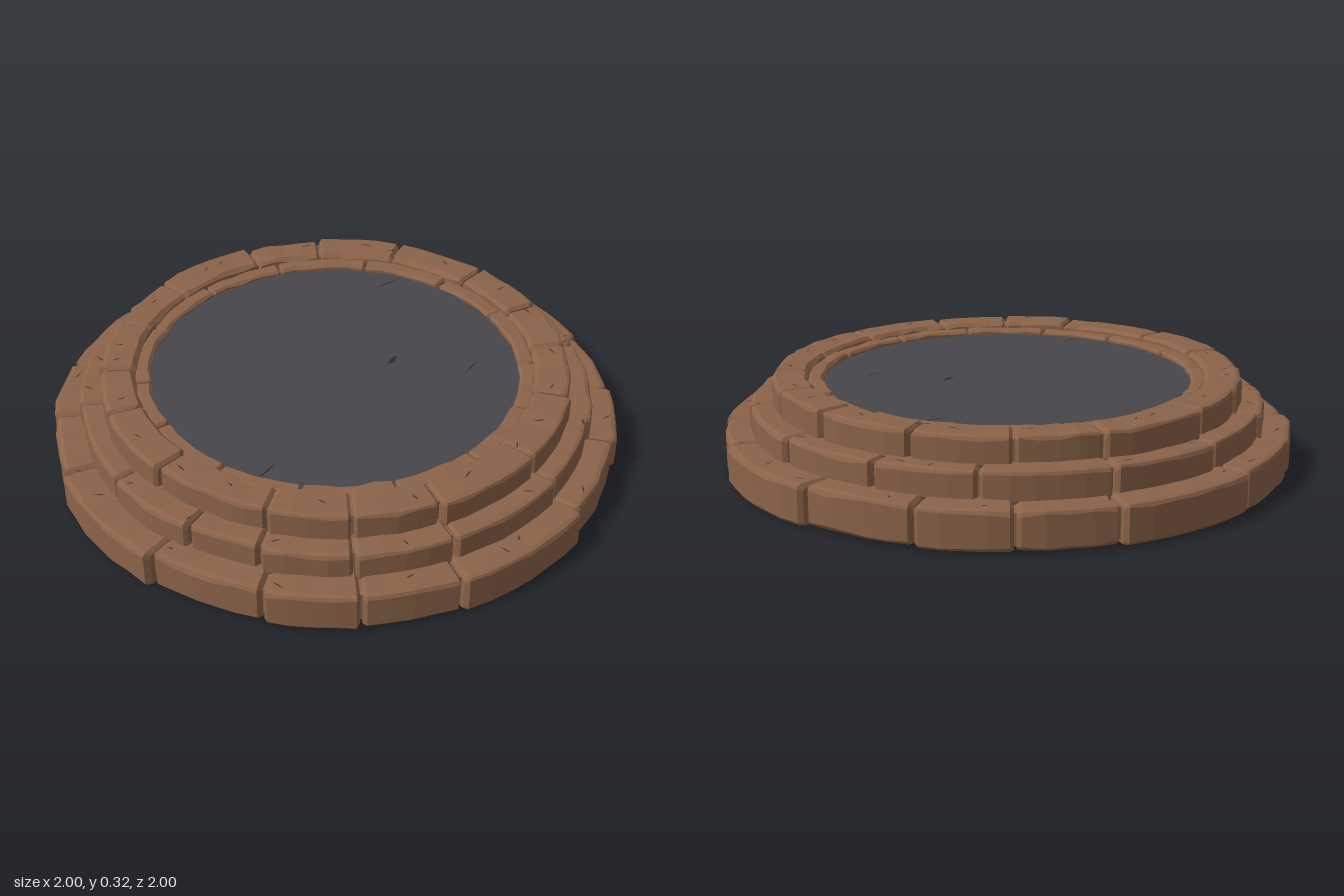
import * as THREE from 'three';

const stone = new THREE.MeshStandardMaterial({ color: 0x8b6349 });
stone.name = 'brown stone';
stone.flatShading = true;
const slab = new THREE.MeshStandardMaterial({ color: 0x47474b });
slab.name = 'dark slab';
const crack = new THREE.MeshStandardMaterial({ color: 0x4a3427 });
crack.name = 'crack shadow';
const slabCrack = new THREE.MeshStandardMaterial({ color: 0x2b2b2e });
slabCrack.name = 'slab crack shadow';

const RAD = Math.PI / 180;

// Small seeded random source
function makeRandom(seed) {
  let s = seed;
  return () => {
    s = (s * 16807) % 2147483647;
    return s / 2147483647;
  };
}

// One curved, chamfered stone swept between two angles (0 = front, 90 = left)
function stoneGeometry(a0, a1, ri, ro, y0, y1, c, rand) {
  const bevel = (c * 0.8) / ro / RAD;
  const count = Math.max(2, Math.round((a1 - a0) / 5));
  const angles = [a0];
  for (let i = 0; i <= count; i++) angles.push(a0 + bevel + ((a1 - a0 - 2 * bevel) * i) / count);
  angles.push(a1);

  const pos = [];
  const idx = [];
  const n = 8;
  angles.forEach((a, s) => {
    const end = s === 0 || s === angles.length - 1 ? c : 0;
    const R = ro - end - rand() * 0.006;
    const I = ri + end * 0.5 + (rand() - 0.5) * 0.008;
    const T = y1 - end * 0.8 - rand() * 0.004;
    const k = c * (0.6 + rand() * 0.7);
    const profile = [
      [I, y0], [R - k * 0.5, y0], [R, y0 + k * 0.7], [R, T - k],
      [R - k * 0.35, T - k * 0.3], [R - k * 1.1, T], [I + k, T], [I, T - k],
    ];
    for (const [r, y] of profile) pos.push(r * Math.sin(a * RAD), y, r * Math.cos(a * RAD));
  });
  const last = (angles.length - 1) * n;
  for (let s = 0; s < angles.length - 1; s++) {
    for (let j = 0; j < n; j++) {
      const p = s * n + j;
      const q = s * n + ((j + 1) % n);
      idx.push(p, p + n, q, q, p + n, q + n);
    }
  }
  for (let j = 1; j < n - 1; j++) idx.push(0, j, j + 1, last, last + j + 1, last + j);

  const geo = new THREE.BufferGeometry();
  geo.setAttribute('position', new THREE.Float32BufferAttribute(pos, 3));
  geo.setIndex(idx);
  const flat = geo.toNonIndexed();
  flat.computeVertexNormals();
  return flat;
}

// A ring of separate stones, with a slightly smaller solid ring behind the joints
function stoneRing(name, t) {
  const group = new THREE.Group();
  group.name = name;
  const rand = makeRandom(t.seed);
  const gap = 0.004 / t.ro / RAD;
  t.cuts.forEach((a, i) => {
    const b = i + 1 < t.cuts.length ? t.cuts[i + 1] : t.cuts[0] + 360;
    const proud = t.proudEvery && i % t.proudEvery === 0;
    const ro = proud ? t.ro + 0.004 : t.ro - rand() * t.vary;
    const geo = stoneGeometry(a + gap, b - gap, t.ri, ro, t.y0 + rand() * t.sag, t.y1 - rand() * 0.006, t.c, rand);
    const mesh = new THREE.Mesh(geo, stone);
    mesh.name = name + 'Stone';
    group.add(mesh);
  });
  const [i, o, lo, hi] = [t.ri + 0.015, t.ro - 0.035, t.y0 + t.sag + 0.004, t.y1 - 0.022];
  const points = [[i, lo], [o, lo], [o, hi], [i, hi], [i, lo]].map(([x, y]) => new THREE.Vector2(x, y));
  const core = new THREE.Mesh(new THREE.LatheGeometry(points, 72), stone);
  core.name = name + 'Core';
  group.add(core);
  return group;
}

// Thin tapering sliver lying on a level surface
function sliver(name, angle, r, y, length, width, turn, material) {
  const shape = new THREE.Shape();
  shape.moveTo(-length / 2, 0);
  shape.lineTo(-length * 0.1, -width / 2);
  shape.lineTo(length / 2, width * 0.2);
  shape.lineTo(length * 0.05, width / 2);
  const geo = new THREE.ShapeGeometry(shape);
  geo.rotateX(-Math.PI / 2);
  const mesh = new THREE.Mesh(geo, material);
  mesh.name = name;
  mesh.position.set(r * Math.sin(angle * RAD), y, r * Math.cos(angle * RAD));
  mesh.rotation.y = turn;
  return mesh;
}

export function createModel() {
  const model = new THREE.Group();
  model.name = 'roundStonePlatform';

  // Joints of the lowest step repeat every quarter turn
  const lowCuts = [];
  for (let q = 0; q < 4; q++) lowCuts.push(...[-15, 15, 38, 56].map((a) => a + q * 90));

  model.add(
    stoneRing('lowerStep', {
      cuts: lowCuts, ri: 0.6, ro: 1, y0: 0, y1: 0.143, c: 0.016, sag: 0.014, vary: 0.014, proudEvery: 4, seed: 11,
    }),
    stoneRing('middleStep', {
      cuts: [-14, 14, 37, 66, 92, 117, 139, 166, 192, 217, 240, 268, 290, 306, 325],
      ri: 0.64, ro: 0.905, y0: 0.12, y1: 0.232, c: 0.014, sag: 0.004, vary: 0.016, seed: 23,
    }),
    stoneRing('upperStep', {
      cuts: [-15, 12, 37, 58, 77, 98, 123, 146, 166, 194, 214, 235, 253, 277, 306, 325],
      ri: 0.695, ro: 0.832, y0: 0.21, y1: 0.32, c: 0.014, sag: 0.004, vary: 0.02, seed: 37,
    }),
    stoneRing('innerLip', {
      cuts: [-22, 3, 30, 52, 80, 104, 131, 160, 186, 212, 240, 262, 288, 312],
      ri: 0.643, ro: 0.705, y0: 0.2, y1: 0.302, c: 0.009, sag: 0.004, vary: 0.004, seed: 51,
    }),
  );

  // Dark slab filling the middle
  const disc = new THREE.Mesh(new THREE.CylinderGeometry(0.655, 0.655, 0.262, 72), slab);
  disc.name = 'centreSlab';
  disc.position.y = 0.149;
  model.add(disc);

  // Scratches in the slab
  [[64, 0.21, 0.06, 0.025, 0.2], [121, 0.58, 0.13, 0.008, -0.1], [300, 0.6, 0.11, 0.008, 0.25], [52, 0.48, 0.1, 0.006, 0.3]]
    .forEach(([a, r, l, w, turn]) => model.add(sliver('slabScratch', a, r, 0.2815, l, w, turn, slabCrack)));

  // Nicks scattered over the step tops
  const rand = makeRandom(77);
  [[0.945, 0.144, 18], [0.868, 0.233, 14], [0.762, 0.321, 22]].forEach(([r, y, count]) => {
    for (let i = 0; i < count; i++) {
      const angle = ((i + rand() * 0.8) * 360) / count;
      model.add(sliver('stoneNick', angle, r + (rand() - 0.5) * 0.03, y, 0.025 + rand() * 0.03, 0.007, rand() * 3, crack));
    }
  });
  return model;
}
